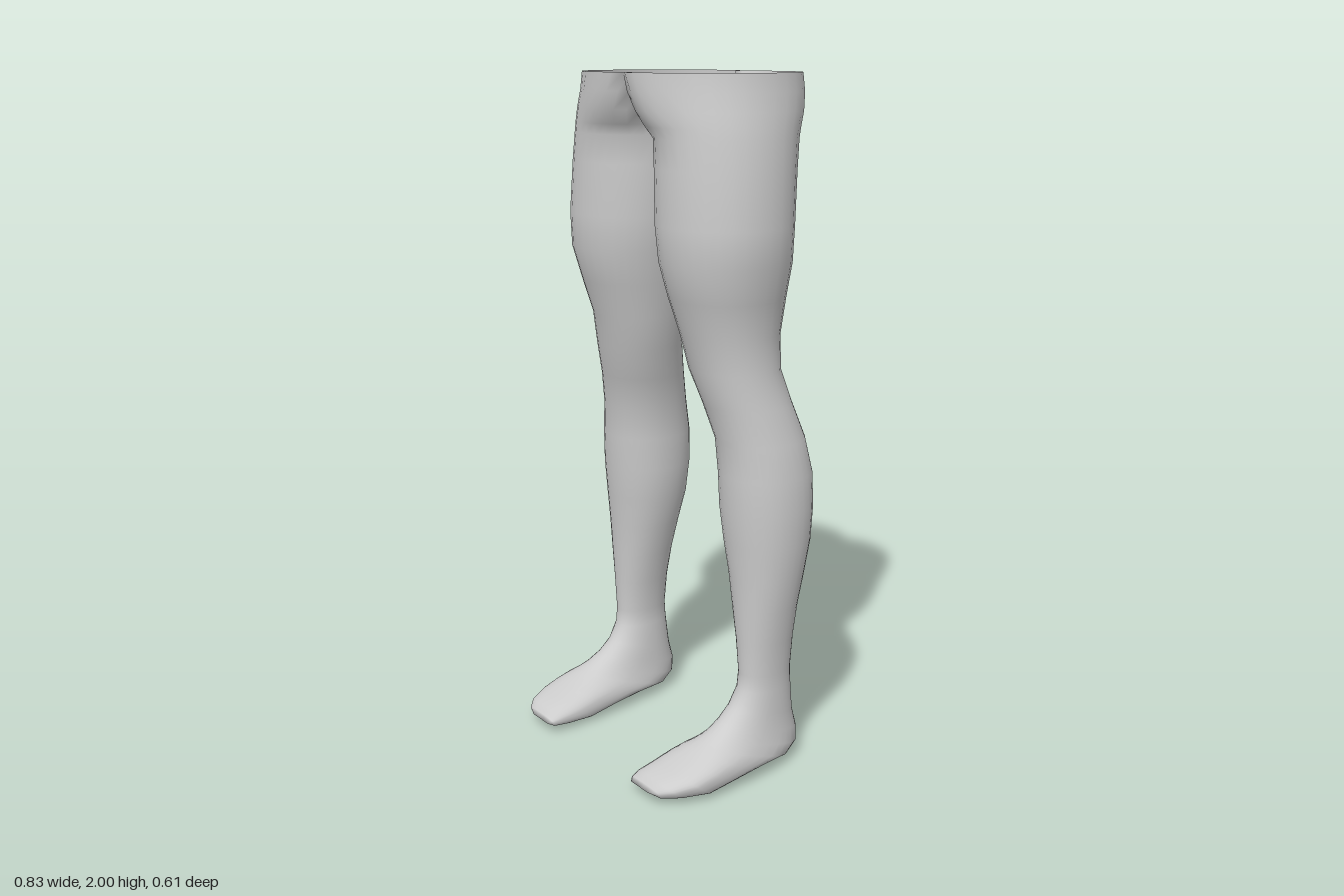
import * as THREE from 'three';
import { mergeGeometries, mergeVertices } from 'three/addons/utils/BufferGeometryUtils.js';

const SIDES = 32;

// Horizontal sections, hip to ankle: [y, inner x, outer x, front z, back z, belly push]
const LEG = [
  [2.0, -0.105, 0.345, 0.155, -0.305, 0.04],
  [1.95, -0.07, 0.352, 0.152, -0.302, 0.05],
  [1.9, -0.035, 0.362, 0.152, -0.285, 0.05],
  [1.86, -0.012, 0.368, 0.15, -0.265, 0.03],
  [1.83, 0, 0.373, 0.148, -0.252],
  [1.75, 0.006, 0.384, 0.149, -0.236],
  [1.6, 0.015, 0.395, 0.153, -0.22],
  [1.5, 0.03, 0.39, 0.148, -0.215],
  [1.4, 0.05, 0.366, 0.12, -0.205],
  [1.3, 0.07, 0.35, 0.085, -0.19],
  [1.2, 0.093, 0.352, 0.065, -0.187],
  [1.1, 0.122, 0.37, 0.035, -0.215],
  [1.0, 0.147, 0.395, 0.01, -0.245],
  [0.9, 0.152, 0.41, 0.005, -0.266],
  [0.8, 0.153, 0.415, 0, -0.268],
  [0.7, 0.166, 0.411, -0.01, -0.26],
  [0.6, 0.19, 0.4, -0.02, -0.24],
  [0.5, 0.212, 0.386, -0.025, -0.222],
  [0.4, 0.234, 0.372, -0.03, -0.212],
  [0.3, 0.246, 0.363, -0.035, -0.207],
  [0.25, 0.244, 0.364, -0.03, -0.21],
];

// Tilting sections, ankle to toes: [front z, front y, back z, back y, inner x, outer x]
const FOOT = [
  [0, 0.2, -0.222, 0.15, 0.236, 0.367],
  [0.04, 0.165, -0.238, 0.09, 0.232, 0.372],
  [0.08, 0.14, -0.234, 0.045, 0.226, 0.382],
  [0.11, 0.125, -0.19, 0.018, 0.215, 0.392],
  [0.14, 0.112, -0.08, 0.02, 0.204, 0.4],
  [0.18, 0.096, 0.03, 0.014, 0.197, 0.402],
  [0.23, 0.08, 0.13, 0, 0.195, 0.396],
  [0.28, 0.064, 0.22, 0.008, 0.197, 0.37],
  [0.3, 0.05, 0.28, 0.016, 0.205, 0.338],
  [0.306, 0.034, 0.306, 0.034, 0.218, 0.3],
];

const rounded = (v, n) => Math.sign(v) * Math.abs(v) ** (2 / n);

// One closed section; the part past the middle plane is cut off at x = 0
function ring(zf, yf, zb, yb, xin, xout, n, push = 0) {
  const points = [];
  for (let j = 0; j < SIDES; j++) {
    const a = (j / SIDES) * Math.PI * 2;
    const s = Math.sin(a);
    const t = (rounded(s, n) + 1) / 2;
    const x = Math.max(0, (xin + xout) / 2 + ((xout - xin) / 2) * rounded(Math.cos(a), n));
    const belly = push * Math.sqrt(Math.max(0, s)) * Math.max(0, 1 - x / 0.22);
    points.push([x < 1e-5 ? 0 : x, yb + (yf - yb) * t, zb + (zf - zb) * t + belly]);
  }
  return points;
}

// Skin over the sections; side -1 mirrors the leg
function legGeometry(side) {
  const rings = [
    ...LEG.map(([y, xin, xout, zf, zb, push]) => ring(zf, y, zb, y, xin, xout, 2.1, push)),
    ...FOOT.map(([zf, yf, zb, yb, xin, xout], i) => ring(zf, yf, zb, yb, xin, xout, Math.min(2.7, 2.1 + i * 0.12))),
  ];
  const positions = rings.flat().flatMap(([x, y, z]) => [x * side, y, z]);
  const index = [];
  for (let i = 0; i < rings.length - 1; i++) {
    for (let j = 0; j < SIDES; j++) {
      const k = (j + 1) % SIDES;
      const a = i * SIDES + j, b = i * SIDES + k, c = a + SIDES, d = b + SIDES;
      // leave the two hips open to each other
      if ([a, b, c, d].every((v) => positions[v * 3] === 0)) continue;
      if (side > 0) index.push(a, b, c, b, d, c);
      else index.push(a, c, b, b, c, d);
    }
  }
  const geometry = new THREE.BufferGeometry();
  geometry.setAttribute('position', new THREE.Float32BufferAttribute(positions, 3));
  geometry.setIndex(index);
  return geometry;
}

export function createModel() {
  const skin = new THREE.MeshStandardMaterial({ color: 0xcccccc, side: THREE.DoubleSide });
  skin.name = 'light grey skin';

  // Both legs are welded along the middle so the hips shade smoothly
  const geometry = mergeVertices(mergeGeometries([legGeometry(1), legGeometry(-1)]), 1e-4);
  geometry.computeVertexNormals();
  const legs = new THREE.Mesh(geometry, skin);
  legs.name = 'legs';

  const model = new THREE.Group();
  model.name = 'lowerBody';
  model.add(legs);
  return model;
}
